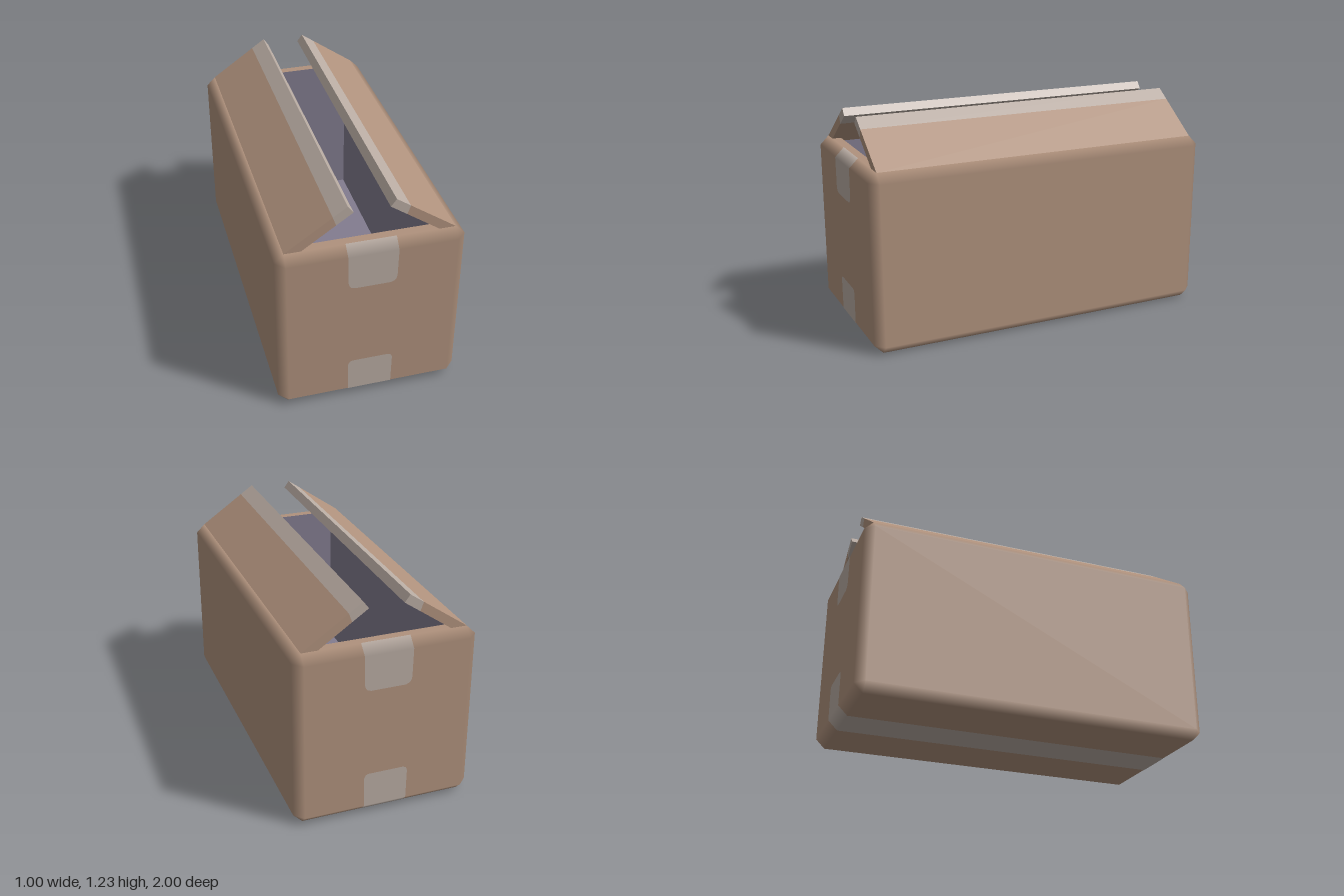
import * as THREE from 'three';

const HALF = [0.5, 0.5, 1]; // half size of the carton
const BEVEL = 0.05;

const cardboard = new THREE.MeshStandardMaterial({ color: 0xb0927d });
cardboard.name = 'cardboard';
const tape = new THREE.MeshStandardMaterial({ color: 0xb9aca3 });
tape.name = 'tape';
const lining = new THREE.MeshStandardMaterial({ color: 0x827c8f });
lining.name = 'lining';

function add(group, name, geometry, material) {
  const mesh = new THREE.Mesh(geometry, material);
  mesh.name = name;
  group.add(mesh);
  return mesh;
}

// Collects convex polygons whose corners are { p, n } and faces them along their normals
function polygons(list) {
  const pos = [], nor = [];
  for (const poly of list) {
    const [a, b, c] = poly.map((v) => v.p);
    const face = b.clone().sub(a).cross(c.clone().sub(a));
    const out = poly.reduce((sum, v) => sum.add(v.n), new THREE.Vector3());
    const ring = face.dot(out) < 0 ? [...poly].reverse() : poly;
    for (let i = 1; i < ring.length - 1; i++) {
      for (const v of [ring[0], ring[i], ring[i + 1]]) {
        pos.push(...v.p.toArray());
        nor.push(...v.n.toArray());
      }
    }
  }
  const g = new THREE.BufferGeometry();
  g.setAttribute('position', new THREE.Float32BufferAttribute(pos, 3));
  g.setAttribute('normal', new THREE.Float32BufferAttribute(nor, 3));
  return g;
}

// Bevelled outer shell, open at the top; bevels blend between the flat sides
function shellGeometry() {
  const corner = (axis, signs) => {
    const p = signs.map((s, i) => s * (HALF[i] - (i === axis ? 0 : BEVEL)));
    const n = [0, 0, 0];
    n[axis] = signs[axis];
    return { p: new THREE.Vector3(p[0], p[1] + 0.5, p[2]), n: new THREE.Vector3(...n) };
  };
  const list = [];
  for (let a = 0; a < 3; a++) {
    const b = (a + 1) % 3, c = (a + 2) % 3;
    const at = (axis, sa, sb, sc) => {
      const s = [0, 0, 0];
      s[a] = sa; s[b] = sb; s[c] = sc;
      return corner(axis, s);
    };
    for (const s of [-1, 1]) {
      // flat side
      if (!(a === 1 && s === 1)) {
        list.push([at(a, s, -1, -1), at(a, s, 1, -1), at(a, s, 1, 1), at(a, s, -1, 1)]);
      }
      // edge bevels
      for (const t of [-1, 1]) {
        list.push([at(a, s, t, -1), at(a, s, t, 1), at(b, s, t, 1), at(b, s, t, -1)]);
      }
    }
  }
  // corner bevels
  for (const x of [-1, 1]) for (const y of [-1, 1]) for (const z of [-1, 1]) {
    list.push([0, 1, 2].map((axis) => corner(axis, [x, y, z])));
  }
  return polygons(list);
}

function rectangle(path, x, y) {
  path.moveTo(-x, -y);
  path.lineTo(x, -y);
  path.lineTo(x, y);
  path.lineTo(-x, y);
  path.closePath();
  return path;
}

// Tape strip from rows of [y, z, normal y, normal z, half width]
function tapeGeometry(rows) {
  const list = [];
  const point = ([y, z, ny, nz, w], side) => ({
    p: new THREE.Vector3(side * w, y + ny * 0.002, z + nz * 0.002),
    n: new THREE.Vector3(0, ny, nz),
  });
  for (let i = 0; i < rows.length - 1; i++) {
    list.push([point(rows[i], -1), point(rows[i], 1), point(rows[i + 1], 1), point(rows[i + 1], -1)]);
  }
  return polygons(list);
}

function flapPiece(points, side) {
  const shape = new THREE.Shape(points.map(([x, y]) => new THREE.Vector2(side * x, y)));
  const g = new THREE.ExtrudeGeometry(shape, { depth: 1.9, bevelEnabled: false });
  return g.translate(0, 0, -0.95);
}

export function createModel() {
  const model = new THREE.Group();
  model.name = 'cardboardBox';

  add(model, 'shell', shellGeometry(), cardboard);

  // Flat rim around the opening
  const rim = rectangle(new THREE.Shape(), 0.45, 0.95);
  rim.holes.push(rectangle(new THREE.Path(), 0.4, 0.9));
  add(model, 'rim', new THREE.ShapeGeometry(rim).rotateX(-Math.PI / 2).translate(0, 1, 0), cardboard);

  // Inside walls and floor
  const inside = [];
  const wall = (n, ...pts) => inside.push(pts.map((p) => ({ p: new THREE.Vector3(...p), n: new THREE.Vector3(...n) })));
  const X = 0.4, Z = 0.9, F = 0.1;
  for (const s of [-1, 1]) {
    wall([-s, 0, 0], [s * X, F, -Z], [s * X, F, Z], [s * X, 1, Z], [s * X, 1, -Z]);
    wall([0, 0, -s], [-X, F, s * Z], [X, F, s * Z], [X, 1, s * Z], [-X, 1, s * Z]);
  }
  wall([0, 1, 0], [-X, F, -Z], [X, F, -Z], [X, F, Z], [-X, F, Z]);
  add(model, 'interior', polygons(inside), lining);

  // Half-open flaps with a taped edge
  for (const [side, name] of [[1, 'left'], [-1, 'right']]) {
    const flap = new THREE.Group();
    flap.name = name + 'Flap';
    add(flap, name + 'FlapBoard', flapPiece([[0.45, 1], [0.2, 1.173], [0.183, 1.124], [0.42, 0.959]], side), cardboard);
    add(flap, name + 'FlapTape', flapPiece([[0.2, 1.173], [0.125, 1.225], [0.095, 1.185], [0.183, 1.124]], side), tape);
    model.add(flap);
  }

  // Tape ends over the top edges
  for (const [s, name] of [[1, 'front'], [-1, 'back']]) {
    add(model, name + 'TopTape', tapeGeometry([
      [1, s * 0.95, 1, 0, 0.134], [0.95, s, 0, s, 0.133], [0.79, s, 0, s, 0.13],
      [0.77, s, 0, s, 0.125], [0.757, s, 0, s, 0.115], [0.75, s, 0, s, 0.095],
    ]), tape);
  }

  // Tape along the bottom, folded up at both ends
  const end = (s) => [
    [0.25, s, 0, s, 0.1], [0.243, s, 0, s, 0.115], [0.225, s, 0, s, 0.123],
    [0.05, s, 0, s, 0.12], [0, s * 0.95, -1, 0, 0.12],
  ];
  add(model, 'bottomTape', tapeGeometry([...end(1), ...end(-1).reverse()]), tape);

  return model;
}
